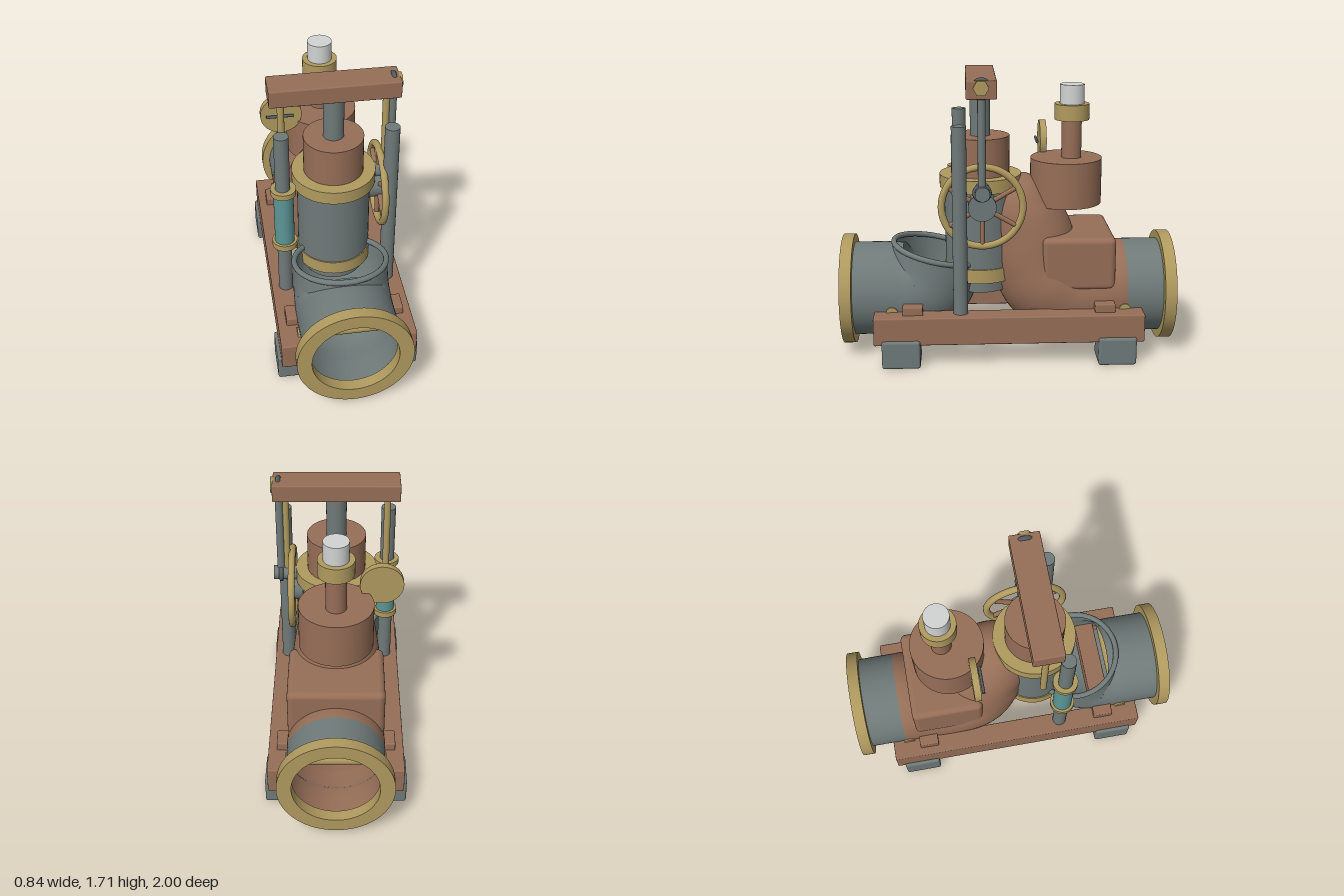
import * as THREE from 'three';
import { RoundedBoxGeometry } from 'three/addons/geometries/RoundedBoxGeometry.js';

const mat = (name, color, side = THREE.FrontSide) => {
  const m = new THREE.MeshStandardMaterial({ color, side });
  m.name = name;
  return m;
};

export function createModel() {
  const copper = mat('copper brown', 0x966e57, THREE.DoubleSide);
  const brass = mat('brass', 0xb09a5f);
  const iron = mat('iron grey', 0x6f7a79, THREE.DoubleSide);
  const dark = mat('dark steel', 0x515b60);
  const glass = mat('teal glass', 0x5c9696);
  const pale = mat('pale metal', 0xd2d4d4);

  const root = new THREE.Group();
  root.name = 'steamPump';

  const add = (name, geo, m, x = 0, y = 0, z = 0, parent = root) => {
    const mesh = new THREE.Mesh(geo, m);
    mesh.name = name;
    mesh.position.set(x, y, z);
    parent.add(mesh);
    return mesh;
  };
  const box = (name, m, x0, x1, y0, y1, z0, z1, r = 0.008) =>
    add(name, new RoundedBoxGeometry(x1 - x0, y1 - y0, z1 - z0, 3, r), m,
      (x0 + x1) / 2, (y0 + y1) / 2, (z0 + z1) / 2);
  // upright cylinder from y0 to y1
  const post = (name, m, r, x, z, y0, y1, seg = 48) =>
    add(name, new THREE.CylinderGeometry(r, r, y1 - y0, seg), m, x, (y0 + y1) / 2, z);
  // cylinder lying along x
  const pin = (name, m, r, x0, x1, y, z, seg = 32) => {
    const c = add(name, new THREE.CylinderGeometry(r, r, x1 - x0, seg), m, (x0 + x1) / 2, y, z);
    c.rotation.z = Math.PI / 2;
    return c;
  };
  // circular sections [z, y, radius] lofted along a path in the x = 0 plane
  const loft = (stations, steps = 64, seg = 64) => {
    const curve = new THREE.CatmullRomCurve3(stations.map(([z, y, r]) => new THREE.Vector3(r, y, z)), false, 'centripetal');
    const pos = [], idx = [];
    for (let i = 0; i <= steps; i++) {
      const p = curve.getPoint(i / steps);
      const a = curve.getPoint(Math.max(0, (i - 1) / steps));
      const b = curve.getPoint(Math.min(1, (i + 1) / steps));
      const len = Math.hypot(b.z - a.z, b.y - a.y);
      const nz = -(b.y - a.y) / len, ny = (b.z - a.z) / len;
      const r = Math.max(p.x, 0.001);
      for (let j = 0; j <= seg; j++) {
        const t = (j / seg) * Math.PI * 2, c = Math.cos(t) * r;
        pos.push(Math.sin(t) * r, p.y + ny * c, p.z + nz * c);
        if (i < steps && j < seg) {
          const k = i * (seg + 1) + j, n = k + seg + 1;
          idx.push(k, k + 1, n, k + 1, n + 1, n);
        }
      }
    }
    const g = new THREE.BufferGeometry();
    g.setAttribute('position', new THREE.Float32BufferAttribute(pos, 3));
    g.setIndex(idx);
    g.computeVertexNormals();
    // outward normals whichever way the path runs
    const P = g.attributes.position, N = g.attributes.normal, mid = seg / 4;
    if (P.getX(mid) * N.getX(mid) < 0) {
      g.setIndex(idx.map((v, i) => (i % 3 === 1 ? idx[i + 1] : i % 3 === 2 ? idx[i - 1] : v)));
      g.computeVertexNormals();
    }
    return g;
  };

  // base frame, mirrored left and right
  for (const s of [-1, 1]) {
    const rail = box('baseRail', copper, -0.065, 0.065, 0.14, 0.31, -0.8, 0.8);
    rail.position.x = s * 0.335;
    for (const z of [-0.64, 0.64]) {
      const foot = box('foot', iron, -0.1, 0.1, 0, 0.17, z - 0.113, z + 0.113, 0.015);
      foot.position.x = s * 0.32;
    }
  }
  for (const s of [-1, 1]) {
    box('crossBeam', copper, -0.35, 0.35, 0.24, 0.36, s * 0.57 - 0.06, s * 0.57 + 0.06);
    pin('tieRod', brass, 0.035, -0.295, 0.295, 0.305, s * 0.695);
  }

  // end flanges
  const ring = new THREE.Shape().absarc(0, 0, 0.335, 0, Math.PI * 2);
  ring.holes.push(new THREE.Path().absarc(0, 0, 0.25, 0, Math.PI * 2, true));
  const flangeGeo = new THREE.ExtrudeGeometry(ring, { depth: 0.07, bevelEnabled: false, curveSegments: 64 });
  add('frontFlange', flangeGeo, brass, 0, 0.365, 0.93);
  add('backFlange', flangeGeo, brass, 0, 0.365, -1);

  // open front elbow with a rolled rim
  add('frontElbow', loft([
    [0.95, 0.365, 0.285], [0.75, 0.365, 0.285], [0.6, 0.36, 0.287],
    [0.5, 0.395, 0.287], [0.455, 0.47, 0.283], [0.425, 0.605, 0.278],
  ]), iron);
  const rim = add('elbowRim', new THREE.TorusGeometry(0.272, 0.017, 12, 64), iron, 0, 0.608, 0.425);
  rim.rotation.x = -Math.PI / 2 - 0.22;

  // back casing and outlet
  add('backCasing', loft([
    [-0.95, 0.365, 0.278], [-0.74, 0.365, 0.278], [-0.71, 0.365, 0.286], [-0.55, 0.352, 0.287],
    [-0.4, 0.345, 0.29], [-0.25, 0.42, 0.295], [-0.18, 0.55, 0.275], [-0.14, 0.72, 0.255],
    [-0.08, 0.88, 0.22], [-0.05, 1.0, 0.16], [-0.035, 1.06, 0.085], [-0.03, 1.08, 0],
  ], 90), copper);
  const sleeve = add('outletSleeve', new THREE.CylinderGeometry(0.286, 0.286, 0.23, 64, 1, true), iron, 0, 0.365, -0.828);
  sleeve.rotation.x = Math.PI / 2;
  box('valveChest', copper, -0.282, 0.282, 0.42, 0.745, -0.637, -0.2, 0.035);

  // main vertical cylinder
  const Z = 0.16;
  post('cylinderFoot', iron, 0.18, 0, Z, 0.385, 0.46);
  post('lowerBand', brass, 0.222, 0, Z, 0.455, 0.54);
  post('mainCylinder', iron, 0.215, 0, Z, 0.54, 1.015);
  post('upperBand', brass, 0.245, 0, Z, 1.01, 1.09, 64);
  post('cylinderCap', copper, 0.175, 0, Z, 1.09, 1.32);
  post('pistonRod', iron, 0.06, 0, Z, 1.32, 1.59);

  // top beam with hanging rods
  box('topBeam', copper, -0.368, 0.368, 1.585, 1.69, 0.07, 0.245);
  for (const s of [-1, 1]) post('hangingRod', brass, 0.02, s * 0.298, Z, 1.0, 1.59, 20);
  pin('hexBolt', brass, 0.046, 0.34, 0.38, 1.65, Z, 6);

  // guide posts and sight glass
  for (const s of [-1, 1]) post('guidePost', iron, 0.043, s * 0.313, 0.287, 0.3, 1.43, 32);
  post('sightGlass', glass, 0.058, -0.31, 0.287, 0.68, 1.045);
  post('lowerCollar', brass, 0.074, -0.31, 0.287, 0.653, 0.69);
  post('upperCollar', brass, 0.074, -0.31, 0.287, 1.035, 1.07);

  // handwheel on the left side
  const wheel = new THREE.Group();
  wheel.name = 'handwheel';
  wheel.position.set(0.268, 0.945, 0.155);
  wheel.rotation.y = Math.PI / 2;
  root.add(wheel);
  add('wheelRim', new THREE.TorusGeometry(0.237, 0.021, 14, 64), brass, 0, 0, 0, wheel);
  const hub = add('wheelHub', new THREE.CylinderGeometry(0.083, 0.083, 0.09, 40), iron, 0, 0, -0.02, wheel);
  hub.rotation.x = Math.PI / 2;
  for (let i = 0; i < 6; i++) {
    const a = (i * Math.PI) / 3;
    const spoke = add('wheelSpoke', new THREE.CylinderGeometry(0.015, 0.015, 0.18, 12), copper,
      -Math.sin(a) * 0.145, Math.cos(a) * 0.145, 0, wheel);
    spoke.rotation.z = a;
  }

  // crank pin and connecting link
  pin('crankPin', iron, 0.043, 0.24, 0.38, 1.045, 0.155);
  const eye = new THREE.TorusGeometry(0.042, 0.014, 10, 32);
  for (const y of [1.045, 1.65]) add('linkEye', eye, dark, 0.335, y, 0.157).rotation.y = Math.PI / 2;
  post('connectingLink', iron, 0.023, 0.335, 0.157, 1.06, 1.65, 20);

  // gauge with needle
  const dial = add('gaugeDial', new THREE.CylinderGeometry(0.125, 0.125, 0.04, 48), brass, -0.26, 1.235, -0.232);
  dial.rotation.x = Math.PI / 2;
  pin('gaugeNeedle', dark, 0.009, -0.35, -0.187, 1.235, -0.197, 10);

  // back chamber and chimney
  post('chamber', copper, 0.215, 0, -0.357, 0.905, 1.18, 64);
  post('chimney', copper, 0.06, 0, -0.388, 1.18, 1.42);
  post('chimneyCollar', brass, 0.104, 0, -0.388, 1.41, 1.505);
  post('chimneyCap', pale, 0.073, 0, -0.388, 1.5, 1.62);

  return root;
}
